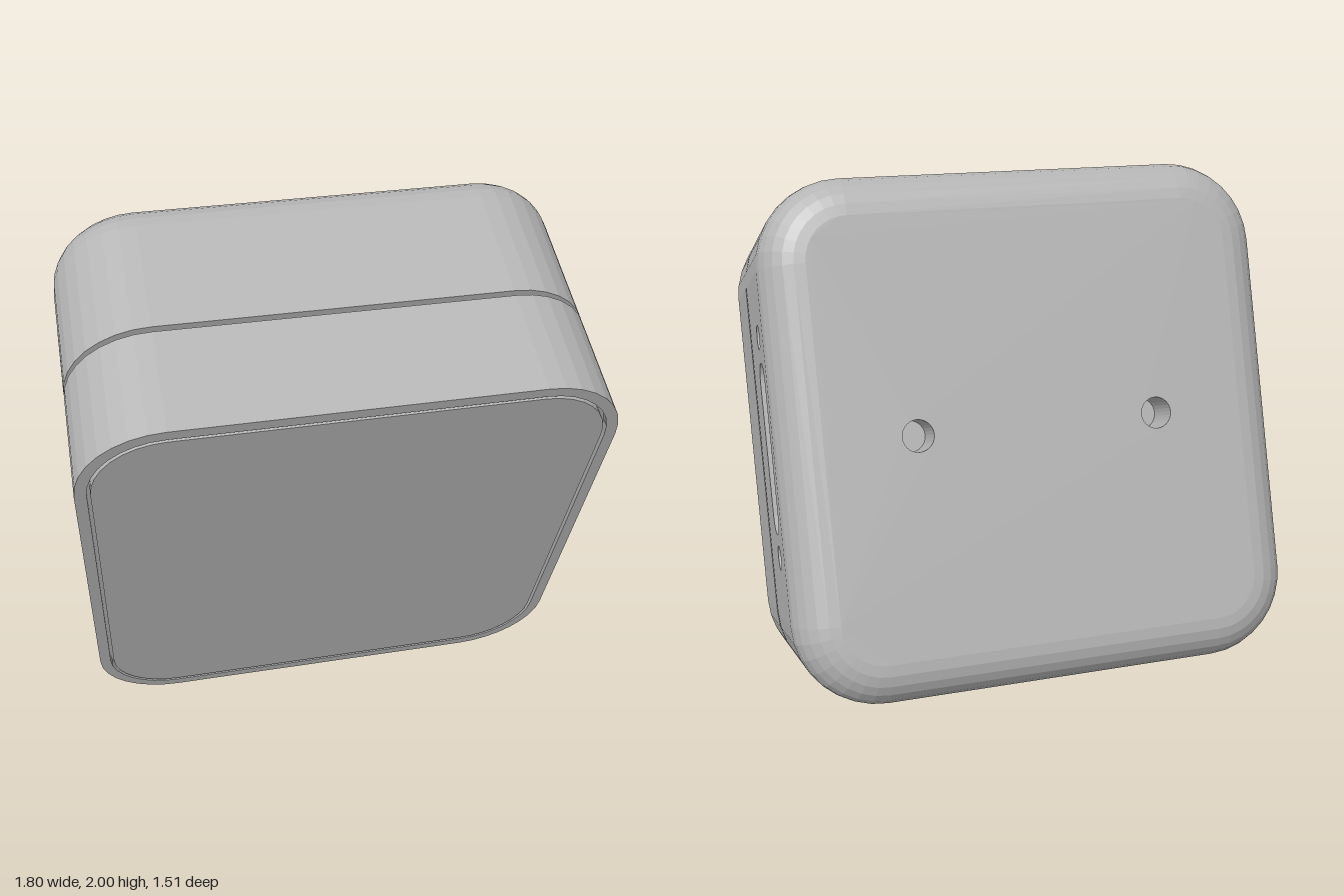
import * as THREE from 'three';

const HW = 0.9, HH = 0.9025, R = 0.3;      // body half width, half height, corner radius
const SEAM = 0.41, FILLET = 0.15, DEPTH = 1;
const SEG = 8;

// Counter-clockwise rounded rectangle; an inset keeps the corner centres.
function roundRect(hw, hh, r, inset = 0, cx = 0, cy = 0, seg = SEG) {
  const pts = [];
  [[1, 1], [-1, 1], [-1, -1], [1, -1]].forEach(([sx, sy], k) => {
    for (let i = 0; i <= seg; i++) {
      const a = (k + i / seg) * Math.PI / 2;
      pts.push(new THREE.Vector2(cx + sx * (hw - r) + (r - inset) * Math.cos(a),
        cy + sy * (hh - r) + (r - inset) * Math.sin(a)));
    }
  });
  return pts;
}

function circle(r, cx = 0, cy = 0, n = 28) {
  return Array.from({ length: n }, (_, i) => {
    const a = i / n * Math.PI * 2;
    return new THREE.Vector2(cx + r * Math.cos(a), cy + r * Math.sin(a));
  });
}

// Faceted strip through [outline, z] rings; rising z faces out, falling z faces in.
function strip(rings, skipEvery = 0) {
  const pos = [];
  const add = (p, z) => pos.push(p.x, p.y, z);
  for (let k = 0; k < rings.length - 1; k++) {
    const [A, za] = rings[k], [B, zb] = rings[k + 1];
    for (let i = 0; i < A.length; i++) {
      if (skipEvery && i % skipEvery === skipEvery - 1) continue;
      const j = (i + 1) % A.length;
      add(A[i], za); add(A[j], za); add(B[j], zb);
      add(A[i], za); add(B[j], zb); add(B[i], zb);
    }
  }
  const g = new THREE.BufferGeometry();
  g.setAttribute('position', new THREE.Float32BufferAttribute(pos, 3));
  g.computeVertexNormals();
  return g;
}

// Flat face with optional holes
function plate(outline, holes = [], z = 0) {
  const s = new THREE.Shape(outline);
  holes.forEach(h => s.holes.push(new THREE.Path(h)));
  return new THREE.ShapeGeometry(s).translate(0, 0, z);
}

const rect = (x0, x1, y0, y1) => [[x0, y0], [x1, y0], [x1, y1], [x0, y1]].map(p => new THREE.Vector2(...p));

export function createModel() {
  const grey = new THREE.MeshStandardMaterial({ color: 0xb4b4b4 });
  grey.name = 'plain grey';

  const body = new THREE.Group();
  body.name = 'tiltedBody';
  const mesh = (parent, name, geo) => {
    const m = new THREE.Mesh(geo, grey);
    m.name = name;
    parent.add(m);
    return m;
  };
  const side = (name, x, y, z, rx, ry) => {
    const g = new THREE.Group();
    g.name = name;
    g.position.set(x, y, z);
    g.rotation.set(rx, ry, 0);
    body.add(g);
    return g;
  };
  const ring = (inset, d) => [roundRect(HW, HH, R, inset), 0.5 - d];

  // Front shell with rim, and the recessed seam behind it
  mesh(body, 'frontShell', strip([
    ring(0, SEAM), ring(0.04, SEAM), ring(0.04, 0.39), ring(0, 0.39),
    ring(0, 0), ring(0.04, 0), ring(0.04, 0.03), ring(0.052, 0.03)]));

  // Front panel, flush inside the rim
  mesh(body, 'frontPanelEdge', strip([ring(0.052, 0.03), ring(0.052, 0)]));
  mesh(body, 'frontPanel', plate(ring(0.052, 0)[0], [], 0.5));

  // Rear shell: rounded corners, then the rounded back edge
  const wallEnd = DEPTH - FILLET;
  mesh(body, 'rearCorners', strip([ring(0, wallEnd), ring(0, SEAM)], SEG + 1));
  const edge = [];
  for (let i = 6; i >= 0; i--) {
    const a = i / 6 * Math.PI / 2;
    edge.push(ring(FILLET * (1 - Math.cos(a)), wallEnd + FILLET * Math.sin(a)));
  }
  mesh(body, 'rearRoundedEdge', strip(edge));

  // Back face with two blind holes
  const back = side('backFace', 0, 0, -0.5, 0, Math.PI);
  const backHoles = [-0.43, 0.43].map(x => circle(0.055, x, 0));
  mesh(back, 'backPlate', plate(roundRect(HW, HH, R, FILLET), backHoles));
  backHoles.forEach(h => {
    mesh(back, 'mountHole', strip([[h, 0], [h, -0.15]]));
    mesh(back, 'mountHoleFloor', plate(h, [], -0.15));
  });

  // Port side: connector recess between two screw holes
  const s0 = SEAM - 0.5, s1 = wallEnd - 0.5, fy = HH - R, fx = HW - R, mid = 0.198;
  const port = side('portSide', HW, 0, 0, 0, Math.PI / 2);
  const slot = inset => roundRect(0.08, 0.3, 0.07, inset, mid, 0.003);
  const screws = [0.393, -0.379].map(y => inset => circle(0.043 - inset, mid, y, 20));
  mesh(port, 'portWall', plate(rect(s0, s1, -fy, fy), [slot(0), ...screws.map(f => f(0))]));
  screws.forEach(f => {
    mesh(port, 'screwHole', strip([[f(0), 0], [f(0.008), -0.01], [f(0.008), -0.08]]));
    mesh(port, 'screwHoleFloor', plate(f(0.008), [], -0.08));
  });
  const socket = [[0.16, -0.257], [0.236, -0.257], [0.236, 0.27], [0.19, 0.275], [0.155, 0.233],
    [0.162, 0.005], [0.175, -0.01], [0.205, -0.02], [0.205, -0.06], [0.16, -0.08]]
    .map(p => new THREE.Vector2(...p));
  mesh(port, 'portRecess', strip([[slot(0), 0], [slot(0.014), -0.014], [slot(0.014), -0.06]]));
  mesh(port, 'portFloor', plate(slot(0.014), [socket], -0.06));
  mesh(port, 'socket', strip([[socket, -0.06], [socket, -0.12]]));
  mesh(port, 'socketFloor', plate(socket, [], -0.12));

  // Opposite side with a thin raised label plate
  const plain = side('plainSide', -HW, 0, 0, 0, -Math.PI / 2);
  mesh(plain, 'plainWall', plate(rect(-s1, -s0, -fy, fy)));
  mesh(plain, 'labelPlate', new THREE.BoxGeometry(0.27, 1, 0.008)).position.set(-0.135, 0, 0);

  // Top wall
  const top = side('topSide', 0, HH, 0, -Math.PI / 2, 0);
  mesh(top, 'topWall', plate(rect(-fx, fx, s0, s1)));

  // Bottom wall with a stepped stand socket
  const bottom = side('bottomSide', 0, -HH, 0, Math.PI / 2, 0);
  const bore = r => circle(r, 0, -0.185, 36);
  mesh(bottom, 'bottomWall', plate(rect(-fx, fx, -s1, -s0), [bore(0.15)]));
  mesh(bottom, 'standSocket', strip([
    [bore(0.15), 0], [bore(0.13), -0.02], [bore(0.13), -0.2], [bore(0.1), -0.2], [bore(0.1), -0.26]]));
  mesh(bottom, 'standSocketFloor', plate(bore(0.1), [], -0.26));

  // Lean the whole body forward
  body.rotation.x = THREE.MathUtils.degToRad(20);
  body.position.set(0, 1.02, 0);
  const model = new THREE.Group();
  model.name = 'cameraBox';
  model.add(body);
  const box = new THREE.Box3().setFromObject(model, true);
  body.position.y -= box.min.y;
  body.position.z -= (box.min.z + box.max.z) / 2;
  return model;
}
